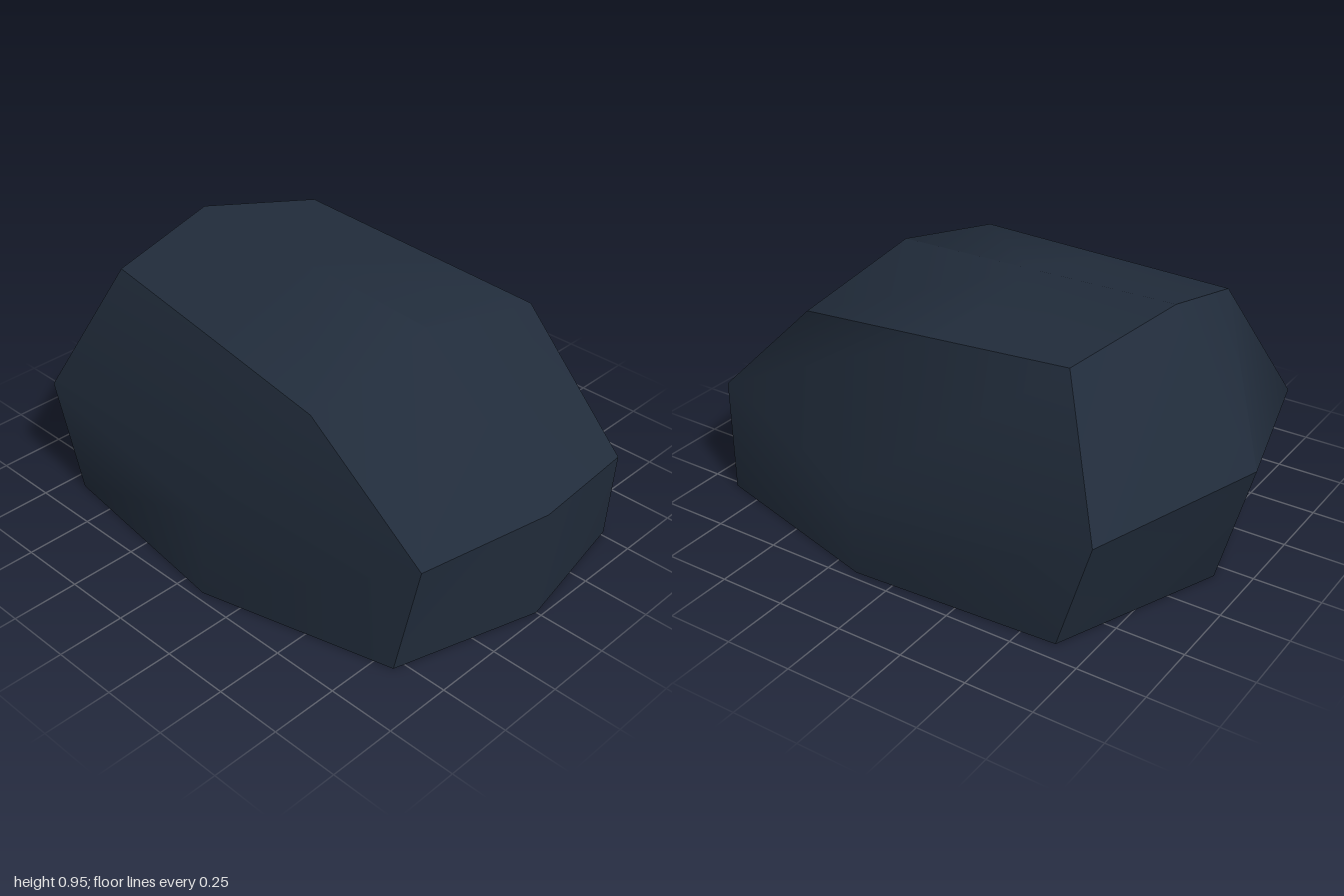
import * as THREE from 'three';
import { toCreasedNormals } from 'three/addons/utils/BufferGeometryUtils.js';

export function createModel() {
  const group = new THREE.Group();
  group.name = 'rock';

  const darkSlate = new THREE.MeshStandardMaterial({ color: 0x212c3b, side: THREE.DoubleSide });
  darkSlate.name = 'dark slate';

  // Eight-sided rings, each running from -x over the front, +x and the back
  const base = [
    [-0.88, 0, -0.06], [-0.68, 0, 0.62], [0.1, 0, 0.72], [0.82, 0, 0.54],
    [0.98, 0, 0], [0.88, 0, -0.52], [0.15, 0, -0.72], [-0.63, 0, -0.68],
  ];
  const shoulder = [
    [-1, 0.45, -0.05], [-0.81, 0.4, 0.62], [0.12, 0.34, 0.72], [0.88, 0.4, 0.49],
    [1, 0.43, 0.01], [0.94, 0.39, -0.46], [0.17, 0.33, -0.72], [-0.75, 0.4, -0.67],
  ];
  const crown = [
    [-0.66, 0.95, -0.02], [-0.65, 0.85, 0.39], [-0.1, 0.825, 0.46], [0.44, 0.8, 0.53],
    [0.46, 0.91, 0.02], [0.5, 0.81, -0.49], [-0.02, 0.84, -0.475], [-0.53, 0.87, -0.46],
  ];
  const peak = [-0.1, 0.93, 0];

  // Walls between neighbouring rings, then a fan closing the top; the underside stays open
  const rings = [base, shoulder, crown];
  const points = [];
  const triangle = (a, b, c) => points.push(...a, ...b, ...c);
  for (let i = 0; i < 8; i++) {
    const j = (i + 1) % 8;
    for (let r = 0; r < 2; r++) {
      const low = rings[r], high = rings[r + 1];
      triangle(low[i], low[j], high[j]);
      triangle(low[i], high[j], high[i]);
    }
    triangle(crown[i], crown[j], peak);
  }

  const geometry = new THREE.BufferGeometry();
  geometry.setAttribute('position', new THREE.Float32BufferAttribute(points, 3));

  // Soft facets with sharp main edges
  const stone = new THREE.Mesh(toCreasedNormals(geometry, Math.PI / 4), darkSlate);
  stone.name = 'stone';
  group.add(stone);
  return group;
}
